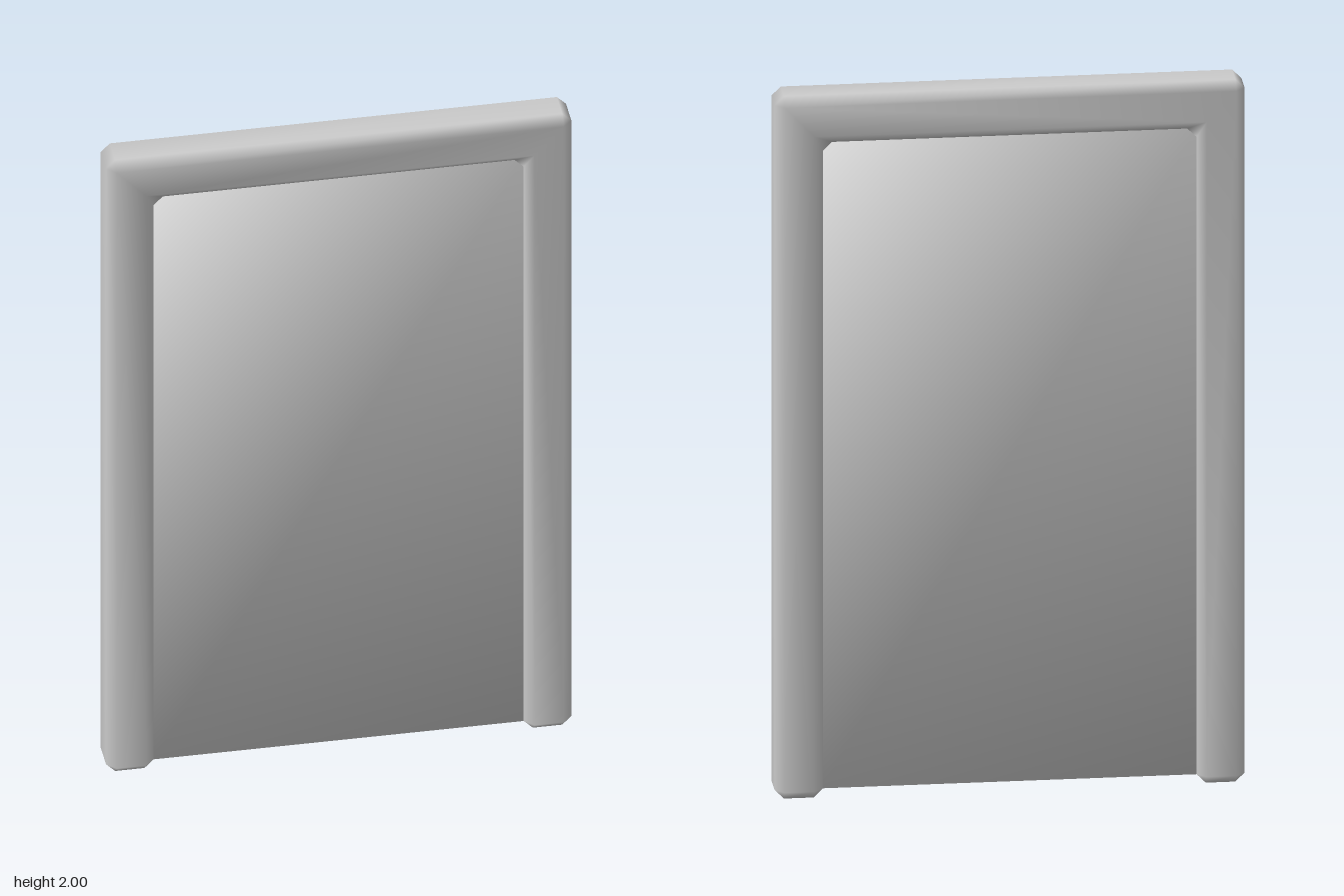
import * as THREE from 'three';

const W = 0.635;   // half width of the frame
const IN = 0.505;  // half width of the opening
const TOP = 2, INTOP = 1.865;
const D = 0.065;   // half depth of the frame
const B = 0.025;   // chamfer

const material = new THREE.MeshStandardMaterial({ color: 0xcccccc });

// Arch-shaped frame with every edge chamfered, made from four loops through its depth
function frameGeometry() {
  const outline = [
    [W, 0], [W, TOP], [-W, TOP], [-W, 0],
    [-IN, 0], [-IN, INTOP], [IN, INTOP], [IN, 0],
  ].map(([x, y]) => new THREE.Vector2(x, y));
  const n = outline.length;
  const cap = [], mid = [];
  outline.forEach((p, i) => {
    const a = p.clone().sub(outline[(i + n - 1) % n]).normalize();
    const b = outline[(i + 1) % n].clone().sub(p).normalize();
    // inset corner for the flat face, split corner for the chamfered side
    cap.push(new THREE.Vector2(p.x - (a.y + b.y) * B, p.y + (a.x + b.x) * B));
    mid.push(p.clone().addScaledVector(a, -B), p.clone().addScaledVector(b, B));
  });

  const pos = [], idx = [];
  const addLoop = (pts, z) => {
    const start = pos.length / 3;
    pts.forEach((p) => pos.push(p.x, p.y, z));
    return start;
  };
  const front = addLoop(cap, D), m1 = addLoop(mid, D - B);
  const m2 = addLoop(mid, B - D), back = addLoop(cap, -D);
  const m = mid.length;

  // flat front and back
  THREE.ShapeUtils.triangulateShape(cap, []).forEach(([a, b, c]) => {
    idx.push(front + a, front + b, front + c, back + a, back + c, back + b);
  });
  // sides
  for (let i = 0; i < m; i++) {
    const j = (i + 1) % m;
    idx.push(m2 + i, m2 + j, m1 + j, m2 + i, m1 + j, m1 + i);
  }
  // chamfers and corner triangles
  for (let i = 0; i < n; i++) {
    const j = (i + 1) % n, p = 2 * i, q = 2 * i + 1, r = (2 * i + 2) % m;
    idx.push(m1 + p, m1 + q, front + i, m2 + q, m2 + p, back + i);
    idx.push(m1 + q, m1 + r, front + j, m1 + q, front + j, front + i);
    idx.push(m2 + r, m2 + q, back + i, m2 + r, back + i, back + j);
  }
  const g = new THREE.BufferGeometry();
  g.setAttribute('position', new THREE.Float32BufferAttribute(pos, 3));
  g.setIndex(idx);
  g.computeVertexNormals();
  return g;
}

// Door slab, smooth-shaded around its corners
function panelGeometry() {
  const g = new THREE.BoxGeometry(2 * IN, INTOP - B, 2 * (D - B));
  const p = g.attributes.position, k = 1 / Math.sqrt(3);
  for (let i = 0; i < p.count; i++) {
    g.attributes.normal.setXYZ(i, Math.sign(p.getX(i)) * k, Math.sign(p.getY(i)) * k, Math.sign(p.getZ(i)) * k);
  }
  return g.translate(0, (INTOP + B) / 2, 0);
}

export function createModel() {
  const group = new THREE.Group();
  group.name = 'door';
  const frame = new THREE.Mesh(frameGeometry(), material);
  frame.name = 'doorFrame';
  const panel = new THREE.Mesh(panelGeometry(), material);
  panel.name = 'doorPanel';
  group.add(frame, panel);
  return group;
}
